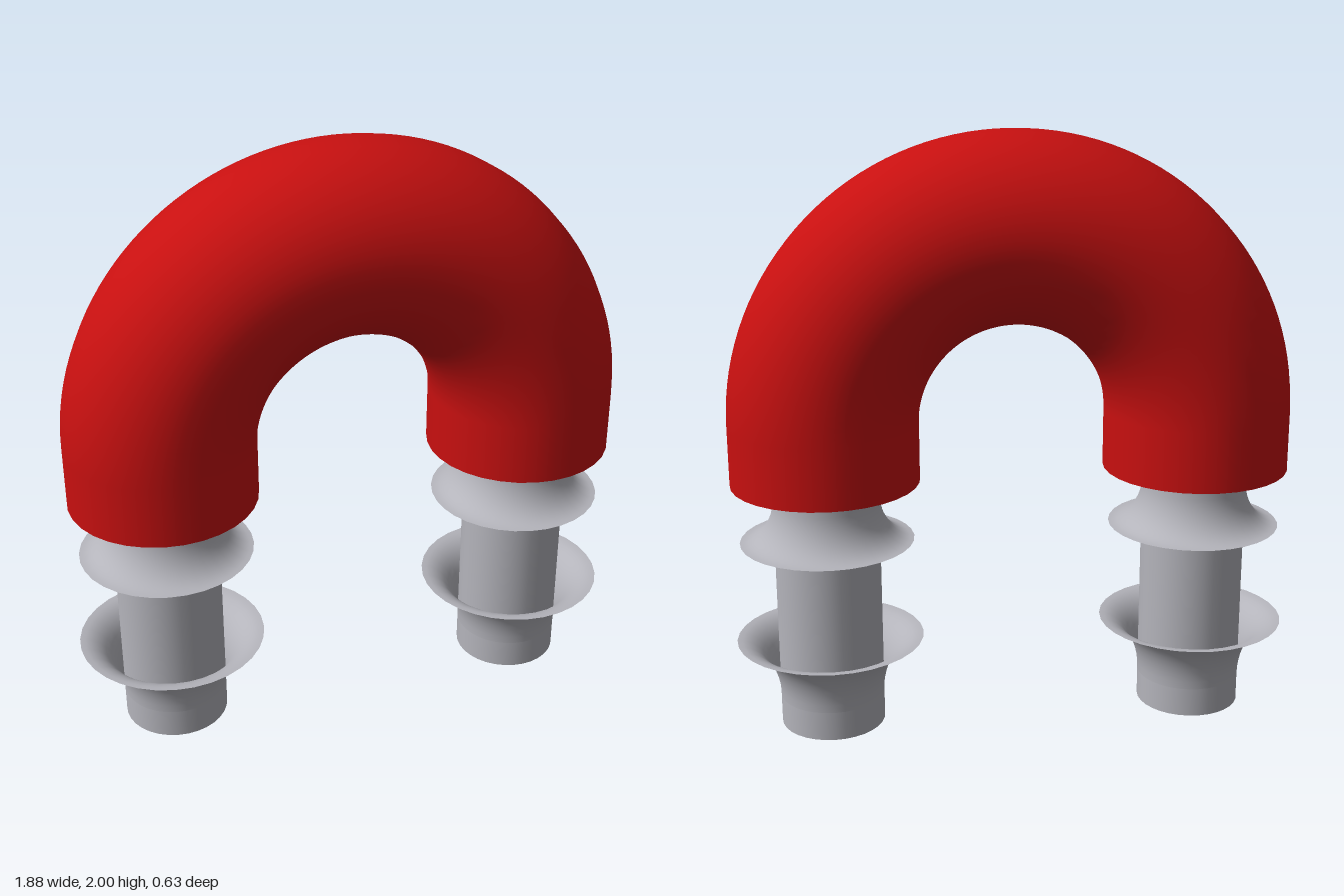
import * as THREE from 'three';

export function createModel() {
  const red = new THREE.MeshStandardMaterial({ color: 0xc81010 });
  red.name = 'red';
  const grey = new THREE.MeshStandardMaterial({ color: 0xb4b4bb, side: THREE.DoubleSide });
  grey.name = 'grey';
  const brown = new THREE.MeshStandardMaterial({ color: 0x8f5a2e });
  brown.name = 'brown';

  const BEND = 0.625, TUBE = 0.3125, STEM = 0.176;
  const ARC_Y = 1.0625, END_Y = 0.86, SIDES = 32;

  const model = new THREE.Group();
  model.name = 'archWithStems';

  const add = (parent, name, geometry, material, y = 0) => {
    const mesh = new THREE.Mesh(geometry, material);
    mesh.name = name;
    mesh.position.y = y;
    parent.add(mesh);
    return mesh;
  };

  // Flared collar: quarter-ellipse profile from the stem out to a thin rim
  const flare = (rimRadius, rimY, neckY) => {
    const points = [];
    for (let i = 0; i <= 12; i++) {
      const a = (i / 12) * Math.PI / 2;
      points.push(new THREE.Vector2(
        rimRadius - (rimRadius - STEM) * Math.cos(a),
        neckY + (rimY - neckY) * Math.sin(a)));
    }
    // keep the profile rising so outward normals face out
    if (rimY < neckY) points.reverse();
    return new THREE.LatheGeometry(points, SIDES);
  };

  // Curved top of the arch
  add(model, 'archBend', new THREE.TorusGeometry(BEND, TUBE, SIDES, 64, Math.PI), red, ARC_Y);

  for (const [side, s] of [['left', 1], ['right', -1]]) {
    const leg = new THREE.Group();
    leg.name = side + 'Leg';
    leg.position.x = s * BEND;
    model.add(leg);

    // Straight end of the arch with its flat underside
    const h = ARC_Y - END_Y;
    add(leg, 'archEnd', new THREE.CylinderGeometry(TUBE, TUBE, h, SIDES, 1, true), red, END_Y + h / 2);
    add(leg, 'archEndCap', new THREE.CircleGeometry(TUBE, SIDES).rotateX(Math.PI / 2), red, END_Y);

    // Stem, collars and foot
    add(leg, 'stem', new THREE.CylinderGeometry(STEM, STEM, END_Y, SIDES, 1, true), grey, END_Y / 2);
    add(leg, 'upperCollar', flare(0.29, 0.655, 0.81), grey);
    add(leg, 'lowerCollar', flare(0.315, 0.305, 0.1), grey);
    add(leg, 'footCap', new THREE.CircleGeometry(STEM, SIDES).rotateX(Math.PI / 2), brown);
  }
  return model;
}
